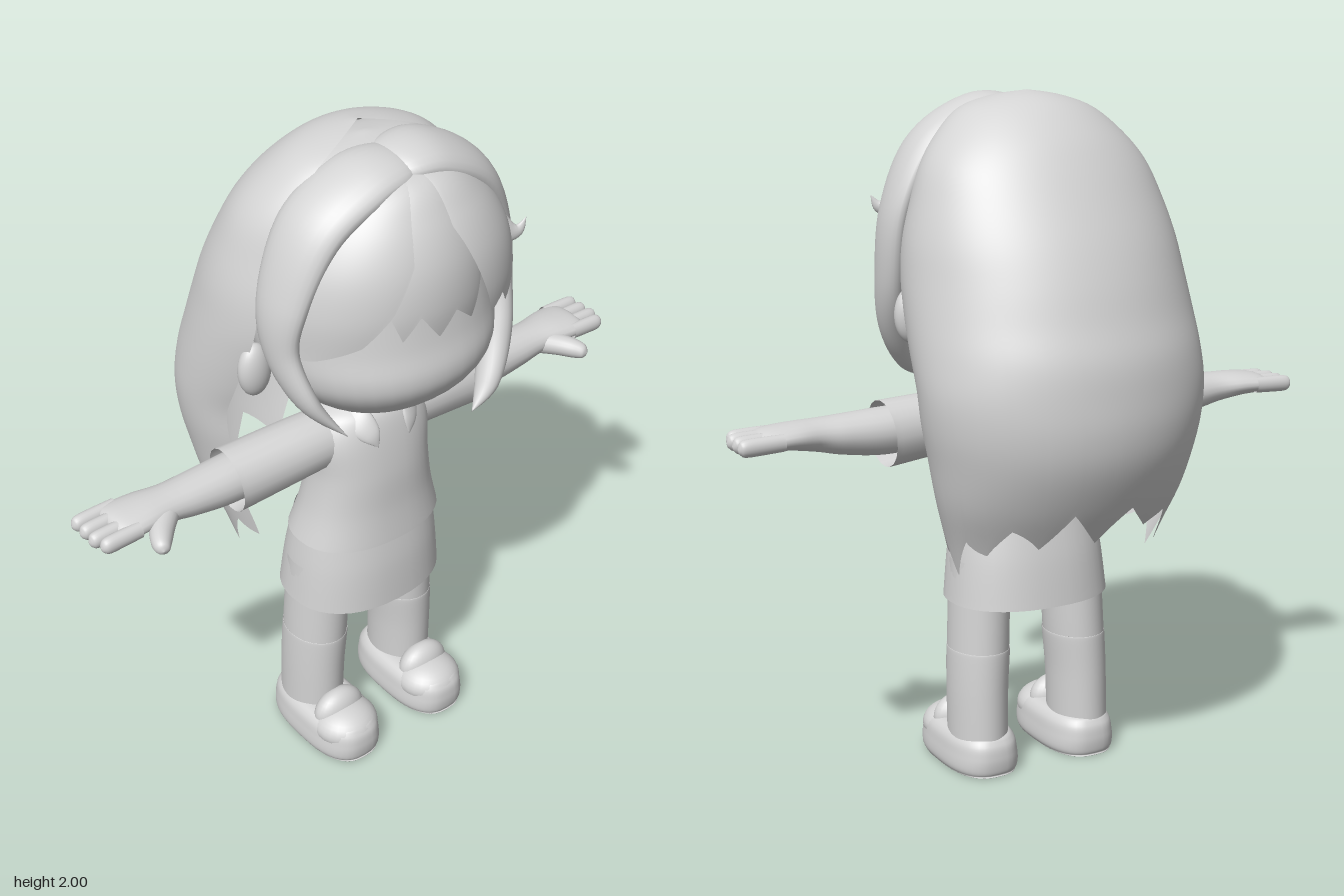
import * as THREE from 'three';
import { mergeVertices } from 'three/addons/utils/BufferGeometryUtils.js';

const clay = new THREE.MeshStandardMaterial({ color: 0xd4d4d4, side: THREE.DoubleSide });
clay.name = 'light grey';

// Smooth interpolation of every column in a table of stations
function sampler(rows) {
  const curves = rows[0].map((_, k) => new THREE.SplineCurve(rows.map(r => new THREE.Vector2(r[k], 0))));
  return t => curves.map(c => c.getPoint(t).x);
}

// Smooth surface from point(u, v), u around and v along
function surface(nu, nv, point) {
  const pos = [], index = [];
  for (let j = 0; j <= nv; j++) for (let i = 0; i <= nu; i++) pos.push(...point(i / nu, j / nv));
  for (let j = 0; j < nv; j++) for (let i = 0; i < nu; i++) {
    const a = j * (nu + 1) + i, b = a + nu + 1;
    index.push(a, b, a + 1, a + 1, b, b + 1);
  }
  let g = new THREE.BufferGeometry();
  g.setAttribute('position', new THREE.Float32BufferAttribute(pos, 3));
  g.setIndex(index);
  g = mergeVertices(g, 1e-5);
  g.computeVertexNormals();
  return g;
}

// Stacked superellipse rings, top to bottom: [y, rx, zCentre, rz, xCentre].
// hem(a, u) cuts each column off at a height, bulge(u) swells it outwards.
function loft(rows, { a0 = 0, a1 = Math.PI * 2, e = 1, nu = 40, nv = rows.length * 5, hem, bulge = () => 1 } = {}) {
  const at = sampler(rows);
  const pw = v => Math.sign(v) * Math.pow(Math.abs(v) < 1e-9 ? 0 : Math.abs(v), e);
  const cut = y => {
    let lo = 0, hi = 1;
    for (let i = 0; i < 14; i++) {
      const mid = (lo + hi) / 2;
      if (at(mid)[0] > y) lo = mid; else hi = mid;
    }
    return hi;
  };
  const ends = Array.from({ length: nu + 1 }, (_, i) => (hem ? cut(hem(a0 + (a1 - a0) * i / nu, i / nu)) : 1));
  return surface(nu, nv, (u, v) => {
    const [y, rx, zc, rz, cx = 0] = at(v * ends[Math.round(u * nu)]), a = a0 + (a1 - a0) * u, k = bulge(u);
    return [cx + Math.max(rx, 0) * k * pw(Math.sin(a)), y, zc + Math.max(rz, 0) * k * pw(Math.cos(a))];
  });
}

// Elliptical sweep through [x, y, z, halfWidth, halfThickness]
function sweep(rows, widthDir, nu = 20, nv = rows.length * 5) {
  const at = sampler(rows), dir = new THREE.Vector3(...widthDir);
  const centre = t => new THREE.Vector3(...at(t).slice(0, 3));
  return surface(nu, nv, (u, v) => {
    const [x, y, z, a, b] = at(v), f = -u * Math.PI * 2;
    const T = centre(Math.min(v + 0.01, 1)).sub(centre(Math.max(v - 0.01, 0))).normalize();
    const W = dir.clone().addScaledVector(T, -dir.dot(T)).normalize();
    const N = T.clone().cross(W);
    return new THREE.Vector3(x, y, z)
      .addScaledVector(W, Math.max(a, 0) * Math.cos(f))
      .addScaledVector(N, Math.max(b, 0) * Math.sin(f)).toArray();
  });
}

const mirrorRows = (rows, s, k = 0) => rows.map(r => r.map((v, i) => (i === k ? v * s : v)));

// Height on a polyline of [x, y] points
function heightAt(points, x) {
  let i = 1;
  while (i < points.length - 1 && x > points[i][0]) i++;
  const [x0, y0] = points[i - 1], [x1, y1] = points[i];
  return y0 + (y1 - y0) * THREE.MathUtils.clamp((x - x0) / (x1 - x0), 0, 1);
}

// Fringe locks: ragged lower edges as [x, y], and how far each swells
const fringeLocks = [
  ['rightFringe', 0.06, [[-0.355, 1.48], [-0.3, 1.5], [-0.22, 1.55], [-0.16, 1.64], [-0.1, 1.78], [-0.06, 1.86]]],
  ['middleFringe', 0.04, [[-0.18, 1.66], [-0.13, 1.55], [-0.09, 1.62], [-0.03, 1.54], [0.015, 1.61], [0.085, 1.55], [0.13, 1.68]]],
  ['leftFringe', 0.12, [[0.02, 1.87], [0.06, 1.78], [0.1, 1.66], [0.14, 1.54], [0.18, 1.58], [0.21, 1.53],
    [0.24, 1.55], [0.285, 1.49], [0.32, 1.58], [0.355, 1.68]]],
];

export function createModel() {
  const model = new THREE.Group();
  model.name = 'figure';
  const add = (name, geometry, pos, scale) => {
    const m = new THREE.Mesh(geometry, clay);
    m.name = name;
    if (pos) m.position.set(...pos);
    if (scale) m.scale.set(...scale);
    model.add(m);
  };
  const ball = () => new THREE.SphereGeometry(1, 28, 18);

  // Head and neck
  add('head', loft([[1.98, 0, 0.09, 0], [1.955, 0.16, 0.09, 0.1], [1.88, 0.26, 0.095, 0.185], [1.75, 0.325, 0.095, 0.275],
    [1.6, 0.345, 0.1, 0.3], [1.5, 0.345, 0.11, 0.31], [1.42, 0.335, 0.13, 0.31], [1.36, 0.31, 0.14, 0.29],
    [1.3, 0.255, 0.143, 0.242], [1.25, 0.185, 0.13, 0.18], [1.228, 0.1, 0.11, 0.1], [1.225, 0, 0.11, 0]], { e: 0.93 }));
  add('neck', loft([[1.3, 0.07, 0.08, 0.08], [1.22, 0.064, 0.08, 0.075], [1.15, 0.075, 0.08, 0.085]]));

  // Long back hair: hollow shell, open at the front, with a ragged hem
  const hairRows = [[2.0, 0, 0.06, 0], [1.985, 0.1, 0.07, 0.09], [1.95, 0.2, 0.07, 0.16], [1.88, 0.28, 0.045, 0.212],
    [1.8, 0.338, 0.02, 0.247], [1.7, 0.375, 0, 0.287], [1.6, 0.402, -0.015, 0.325], [1.5, 0.416, -0.035, 0.347],
    [1.4, 0.425, -0.07, 0.345], [1.3, 0.43, -0.11, 0.338], [1.2, 0.43, -0.145, 0.315], [1.1, 0.42, -0.15, 0.312],
    [1.0, 0.4, -0.145, 0.298], [0.88, 0.375, -0.13, 0.26], [0.75, 0.335, -0.1, 0.215], [0.62, 0.3, -0.08, 0.17]];
  add('backHair', loft(hairRows, {
    a0: Math.PI * 0.365, a1: Math.PI * 1.635, nu: 112, nv: 60,
    hem: (a, u) => 0.88 - 0.11 * Math.sin(a) ** 2 - (0.085 + 0.03 * Math.sin(u * 17)) * Math.abs(2 * ((u * 8) % 1) - 1),
  }));

  // Fringe over the forehead in three overlapping locks, with a flicked tip
  const fringeRows = [[1.95, 0.02, 0.16, 0.04], [1.93, 0.15, 0.13, 0.19], [1.85, 0.26, 0.1, 0.285],
    [1.74, 0.33, 0.1, 0.328], [1.62, 0.358, 0.1, 0.34], [1.5, 0.36, 0.1, 0.325], [1.45, 0.36, 0.1, 0.315]];
  for (const [name, swell, edge] of fringeLocks) add(name, loft(fringeRows, {
    a0: Math.asin(edge[0][0] / 0.36), a1: Math.asin(edge[edge.length - 1][0] / 0.36), nu: 64, nv: 30,
    hem: a => heightAt(edge, 0.36 * Math.sin(a)),
    bulge: u => 1 + swell * Math.max(0, Math.sin(Math.PI * u)) ** 0.6,
  }));
  add('fringeFlick', sweep([[0.25, 1.76, 0.29, 0.03, 0.015], [0.3, 1.68, 0.3, 0.035, 0.018],
    [0.345, 1.665, 0.315, 0.02, 0.012], [0.372, 1.7, 0.32, 0, 0]], [0.3, 1, 0]));

  // Two swept locks framing the face from the parting
  add('leftSideLock', sweep([[-0.035, 1.935, 0.21, 0, 0], [-0.015, 1.94, 0.21, 0.085, 0.038], [0.1, 1.935, 0.21, 0.11, 0.052],
    [0.255, 1.842, 0.205, 0.107, 0.052], [0.35, 1.67, 0.195, 0.09, 0.042], [0.362, 1.48, 0.215, 0.07, 0.042],
    [0.33, 1.33, 0.265, 0.055, 0.045], [0.265, 1.21, 0.315, 0.038, 0.032], [0.19, 1.15, 0.34, 0, 0]], [-0.15, -0.1, 1], 24, 60));
  add('rightSideLock', sweep([[0.02, 1.93, 0.21, 0, 0], [0, 1.935, 0.21, 0.085, 0.038], [-0.12, 1.92, 0.21, 0.107, 0.052],
    [-0.262, 1.83, 0.2, 0.103, 0.05], [-0.348, 1.65, 0.195, 0.085, 0.04], [-0.362, 1.5, 0.205, 0.06, 0.034],
    [-0.325, 1.36, 0.27, 0.04, 0.026], [-0.24, 1.25, 0.33, 0, 0]], [0.15, -0.1, 1], 24, 60));

  // Shirt and skirt
  add('shirt', loft([[1.2, 0.065, 0.08, 0.075], [1.18, 0.115, 0.085, 0.09], [1.15, 0.165, 0.09, 0.115],
    [1.08, 0.195, 0.102, 0.125], [0.97, 0.19, 0.112, 0.133], [0.85, 0.207, 0.105, 0.147], [0.745, 0.236, 0.095, 0.168]], { e: 0.88 }));
  add('skirt', loft([[0.8, 0.215, 0.09, 0.15], [0.66, 0.236, 0.084, 0.178], [0.52, 0.25, 0.078, 0.193]], { e: 0.88 }));

  for (const s of [1, -1]) {
    const side = s > 0 ? 'left' : 'right';
    const limb = (name, rows, dir) => add(side + name, sweep(mirrorRows(rows, s), dir));

    add(side + 'Ear', ball(), [s * 0.362, 1.385, 0.08], [0.05, 0.08, 0.036]);

    // Collar flap from the nape to a point on the chest
    limb('Collar', [[0, 1.185, 0, 0.022, 0.008], [0.075, 1.185, 0.035, 0.028, 0.009], [0.095, 1.178, 0.1, 0.035, 0.009],
      [0.09, 1.155, 0.175, 0.042, 0.01], [0.07, 1.115, 0.215, 0.03, 0.01], [0.055, 1.075, 0.232, 0, 0]], [s * 0.7, -0.7, 0]);

    // Open sleeve, arm, hand and digits
    limb('Sleeve', [[0.13, 1.075, 0.09, 0.085, 0.085], [0.25, 1.07, 0.085, 0.088, 0.09], [0.46, 1.055, 0.073, 0.09, 0.097]], [0, 0, 1]);
    limb('Arm', [[0.3, 1.07, 0.075, 0.07, 0.066], [0.46, 1.064, 0.075, 0.072, 0.068], [0.58, 1.068, 0.075, 0.067, 0.058],
      [0.66, 1.075, 0.075, 0.064, 0.047], [0.74, 1.081, 0.072, 0.076, 0.038], [0.81, 1.08, 0.07, 0.08, 0.03],
      [0.835, 1.079, 0.07, 0.06, 0.016], [0.84, 1.079, 0.07, 0, 0]], [0, 0, 1]);
    [0.008, 0.051, 0.095, 0.134].forEach((z, i) => {
      const tip = i === 3 ? 0.9 : 0.912;
      limb('Finger' + (i + 1), [[0.78, 1.08, z, 0.02, 0.024], [0.84, 1.078, z, 0.021, 0.025],
        [tip - 0.02, 1.076, z, 0.02, 0.024], [tip - 0.005, 1.075, z, 0.012, 0.014], [tip, 1.075, z, 0, 0]], [0, 0, 1]);
    });
    limb('Thumb', [[0.66, 1.072, 0.09, 0.035, 0.035], [0.715, 1.064, 0.14, 0.035, 0.032], [0.748, 1.057, 0.185, 0.029, 0.028],
      [0.76, 1.053, 0.212, 0.019, 0.019], [0.764, 1.052, 0.222, 0, 0]], [1, 0, 0]);

    // Leg with a slightly thicker sock
    const legRows = [[0.65, 0.087, 0.078, 0.107, 0.153], [0.4, 0.088, 0.072, 0.11, 0.163],
      [0.25, 0.085, 0.067, 0.11, 0.17], [0.1, 0.083, 0.063, 0.11, 0.172]];
    add(side + 'Leg', loft(mirrorRows(legRows, s, 4)));
    add(side + 'Sock', loft(mirrorRows([[0.372, 0.087, 0.071, 0.109, 0.164], [0.366, 0.09, 0.071, 0.112, 0.164],
      [0.25, 0.087, 0.067, 0.112, 0.17], [0.1, 0.085, 0.063, 0.112, 0.172]], s, 4)));

    // Rounded shoe with flat sole, toe cap and tongue
    add(side + 'Shoe', loft([[0.125, 0, 0.13, 0], [0.122, 0.07, 0.13, 0.15], [0.1, 0.099, 0.13, 0.187], [0.06, 0.108, 0.13, 0.197],
      [0.025, 0.111, 0.13, 0.196], [0.006, 0.105, 0.13, 0.19], [0, 0.09, 0.13, 0.175], [0, 0, 0.13, 0]], { e: 0.75 }),
    [s * 0.166, 0, 0]);
    add(side + 'ToeCap', ball(), [s * 0.166, 0.08, 0.222], [0.102, 0.066, 0.1]);
    add(side + 'Tongue', ball(), [s * 0.168, 0.112, 0.192], [0.085, 0.072, 0.05]);
  }
  return model;
}
